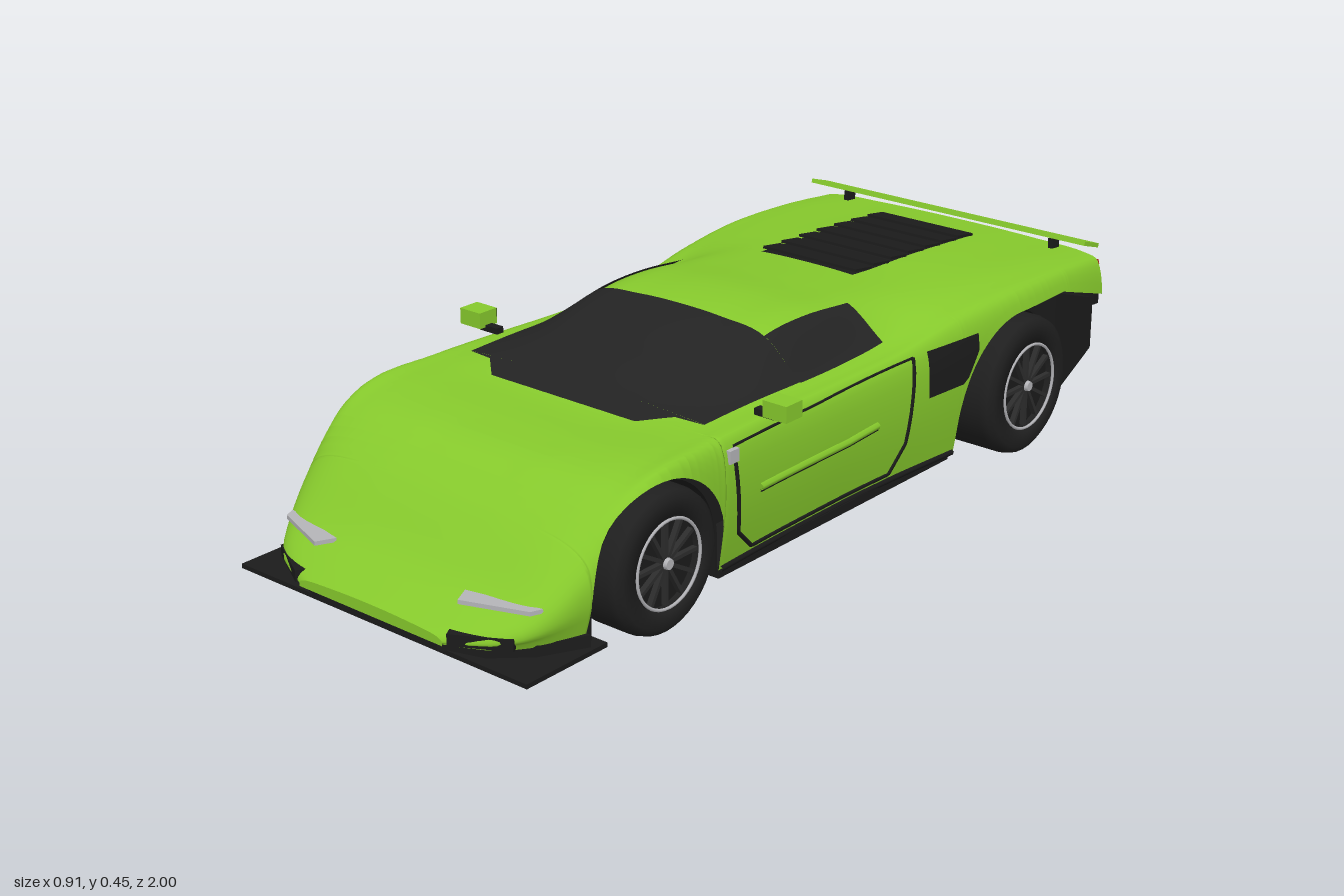
import * as THREE from 'three';

const mat = (name, color, side = THREE.FrontSide) => {
  const m = new THREE.MeshStandardMaterial({ color, side });
  m.name = name;
  return m;
};

// Body cross-section tracks, all sampled at these stations from nose to tail
const Z = [1, .96, .9, .8, .7, .6, .45, .26, .08, -.05, -.21, -.4, -.6, -.8, -.96];
const YC = [.085, .11, .15, .25, .315, .332, .34, .393, .445, .455, .437, .42, .413, .4, .387];
const X2 = [.1, .15, .18, .2, .2, .2, .2, .22, .23, .23, .23, .22, .22, .22, .22];
const Y2 = [.083, .108, .147, .247, .315, .334, .34, .38, .425, .433, .42, .41, .406, .395, .384];
const X3 = [.16, .24, .29, .32, .34, .34, .335, .33, .325, .325, .33, .34, .35, .36, .36];
const Y3 = [.08, .1, .138, .235, .307, .335, .342, .346, .346, .346, .352, .385, .395, .39, .378];
const Y4 = [.076, .09, .12, .2, .287, .326, .33, .33, .326, .326, .332, .355, .368, .362, .35];
const W = [.2, .29, .35, .395, .412, .415, .408, .4, .397, .397, .403, .417, .43, .428, .42];

// Smooth Hermite interpolation of a track
function track(a, z) {
  const n = Z.length;
  let i = 0;
  while (i < n - 2 && z < Z[i + 1]) i++;
  const slope = k => {
    const p = Math.max(k - 1, 0), q = Math.min(k + 1, n - 1);
    return (a[q] - a[p]) / (Z[q] - Z[p]);
  };
  const h = Z[i + 1] - Z[i], t = (z - Z[i]) / h, u = 1 - t;
  return a[i] * (1 + 2 * t) * u * u + slope(i) * h * t * u * u
    + a[i + 1] * t * t * (3 - 2 * t) - slope(i + 1) * h * t * t * u;
}

// Body skin: t = 0 on the centre line, 6 at the sill, negative t on the other side
function skin(ts, z) {
  const t = Math.min(Math.abs(ts), 6), s = ts < 0 ? -1 : 1;
  const yc = track(YC, z), x2 = track(X2, z), y2 = track(Y2, z), y4 = track(Y4, z), w = track(W, z);
  const y1 = yc - .2 * (yc - y2);
  const p = [[-x2 / 2, y1], [0, yc], [x2 / 2, y1], [x2, y2], [track(X3, z), track(Y3, z)],
    [w - .012, y4], [w, y4 * .55 + .025], [w - .02, .055], [w - .05, -.06]];
  const i = Math.min(5, Math.floor(t)), f = t - i;
  const cr = k => {
    const [a, b, c, d] = [p[i][k], p[i + 1][k], p[i + 2][k], p[i + 3][k]];
    return b + .5 * f * (c - a + f * (2 * a - 5 * b + 4 * c - d + f * (3 * (b - c) + d - a)));
  };
  return new THREE.Vector3(s * cr(0), cr(1), z);
}
function bisect(lo, hi, below) {
  for (let k = 0; k < 26; k++) {
    const m = (lo + hi) / 2;
    if (below(m)) lo = m; else hi = m;
  }
  return lo;
}
const tAtX = (x, z) => Math.sign(x) * bisect(0, 4.6, t => skin(t, z).x < Math.abs(x));
const tAtY = (y, z) => bisect(1, 6, t => skin(t, z).y > y);

const ARCHES = [{ z: .605, r: .19, y: .13 }, { z: -.6, r: .21, y: .13 }];
function lowerEdge(z) {
  if (z < -.6) return .34 - Math.max(0, -.78 - z) * .3;
  for (const a of ARCHES) {
    const d = Math.abs(z - a.z);
    if (d < a.r) return a.y + Math.sqrt(a.r * a.r - d * d);
  }
  return .06;
}

// Grid surface from rows of points running +x, rows ordered by rising z
function loft(rows) {
  const n = rows[0].length, index = [];
  for (let j = 0; j < rows.length - 1; j++) for (let i = 0; i < n - 1; i++) {
    const a = j * n + i, c = a + n;
    index.push(a, c, a + 1, a + 1, c, c + 1);
  }
  const g = new THREE.BufferGeometry().setFromPoints(rows.flat());
  g.setIndex(index);
  g.computeVertexNormals();
  return g;
}
// Thin patch lying on the skin; f(u, z) returns t
function patch(z0, z1, nu, nz, f, lift = .004) {
  const rows = [];
  for (let j = 0; j <= nz; j++) {
    const z = z0 + (z1 - z0) * j / nz;
    rows.push(Array.from({ length: nu + 1 }, (_, i) => skin(f(i / nu, z), z)));
  }
  const g = loft(rows), p = g.attributes.position, n = g.attributes.normal;
  for (let i = 0; i < p.count; i++)
    p.setXYZ(i, p.getX(i) + n.getX(i) * lift, p.getY(i) + n.getY(i) * lift, p.getZ(i) + n.getZ(i) * lift);
  return g;
}
// Thin line on one flank through [z, y] points
function seam(s, pts, r) {
  const path = new THREE.CurvePath(), out = [];
  for (let i = 0; i < pts.length - 1; i++) for (let k = 0; k <= 6; k++) {
    if (i && !k) continue;
    const f = k / 6, z = pts[i][0] * (1 - f) + pts[i + 1][0] * f, y = pts[i][1] * (1 - f) + pts[i + 1][1] * f;
    out.push(skin(s * tAtY(y, z), z));
  }
  for (let i = 0; i < out.length - 1; i++) path.add(new THREE.LineCurve3(out[i], out[i + 1]));
  return new THREE.TubeGeometry(path, out.length * 3, r, 5);
}
const shapeOf = pts => new THREE.Shape(pts.map(p => new THREE.Vector2(p[0], p[1])));
const extrude = (shape, depth) => new THREE.ExtrudeGeometry(shape, { depth, bevelEnabled: false, curveSegments: 20 });
// Side outline in [z, y] extruded across x, and plan outline in [x, z] extruded down from y
const sideSlab = (pts, w, x = 0) => extrude(shapeOf(pts.map(p => [-p[0], p[1]])), w).rotateY(Math.PI / 2).translate(x - w / 2, 0, 0);
const planSlab = (pts, y, h) => extrude(shapeOf(pts), h).rotateX(Math.PI / 2).translate(0, y, 0);

export function createModel() {
  const root = new THREE.Group();
  root.name = 'sportsCar';
  const D = THREE.DoubleSide;
  const paint = mat('greenPaint', 0x86c92c, D), glass = mat('darkGlass', 0x232323, D), trim = mat('blackTrim', 0x1b1b1b, D);
  const rubber = mat('tyreRubber', 0x1f1f1f, D), rimMat = mat('darkRim', 0x2c2c2c), silver = mat('silver', 0xb4b4b8), red = mat('redLight', 0xa3221b);
  const add = (name, geo, m, parent = root) => {
    const mesh = new THREE.Mesh(geo, m);
    mesh.name = name;
    parent.add(mesh);
    return mesh;
  };
  const box = (name, w, h, d, x, y, z, m, parent) => {
    const b = add(name, new THREE.BoxGeometry(w, h, d), m, parent);
    b.position.set(x, y, z);
    return b;
  };

  // Body shell, with extra rows where the wheel arches curve steeply
  const zs = [];
  for (let z = -.96; z < 1.001; z += .02) zs.push(Math.min(z, 1));
  for (const a of ARCHES) {
    for (let k = 1; k < 20; k++) zs.push(a.z + a.r * Math.cos(k / 20 * Math.PI));
    zs.push(a.z - a.r - .0005, a.z - a.r + .0005, a.z + a.r - .0005, a.z + a.r + .0005);
  }
  zs.sort((a, b) => a - b);
  const rows = zs.map(z => {
    const tm = tAtY(lowerEdge(z), z);
    return Array.from({ length: 49 }, (_, i) => skin(tm * (i / 24 - 1), z));
  });
  add('bodyShell', loft(rows), paint);
  const nose = rows[rows.length - 1];
  add('noseLip', loft([nose, nose.map(p => new THREE.Vector3(p.x, .06, 1))]), paint);

  // Glass
  const halfW = z => z > .385 ? THREE.MathUtils.lerp(.27, .2, (z - .385) / .065) : .325;
  add('windscreen', patch(.08, .385, 36, 20, (u, z) => tAtX((u * 2 - 1) * .325, z)), glass);
  add('windscreenBase', patch(.385, .45, 24, 6, (u, z) => tAtX((u * 2 - 1) * halfW(z), z)), glass);
  for (const s of [-1, 1])
    add('sideWindow', patch(-.207, .08, 12, 14, (u, z) => tAtX(s * (s > 0 ? .23 + .097 * u : .327 - .097 * u), z)), glass);

  // Engine cover louvres
  add('louvrePanel', patch(-.84, -.36, 10, 20, (u, z) => tAtX(u * .26 - .13 + 1e-6, z), .006), trim);
  for (let i = 0; i < 7; i++) {
    const z = -.4 - i * .067;
    box('louvreSlat', .264, .006, .062, 0, track(YC, z) + .009, z, trim).rotation.x = -.14;
  }

  // Underside, splitter and front bumper
  box('floorCentre', .77, .02, .8, 0, .05, .012, trim);
  box('floorSpine', .5, .012, 1.55, 0, .046, 0, trim);
  box('chassisCore', .48, .19, 1.5, 0, .145, -.03, trim);
  box('splitter', .8, .01, .22, 0, .035, .87, trim);
  const bumper = [[.39, .795], [.34, .89], [.27, .955], [.17, .985]];
  add('frontBumper', planSlab([...bumper, ...bumper.map(([x, z]) => [-x, z]).reverse()], .066, .03), trim);

  // Tail: dark block, rear fascia, valance, diffuser, exhausts, wing
  add('rearBlock', sideSlab([[-.785, .33], [-.95, .275], [-.95, .15], [-.785, .065]], .8), trim);
  add('rearFascia', new THREE.ShapeGeometry(shapeOf(rows[0].map(p => [p.x, p.y]))), trim).position.z = -.959;
  box('rearFasciaLip', .82, .03, .02, 0, .277, -.949, trim);
  box('rearValance', .6, .085, .008, 0, .22, -.952, paint);
  add('diffuserPlate', sideSlab([[-.74, .05], [-.93, .145], [-.925, .155], [-.74, .065]], .62), trim);
  for (let i = -3; i <= 3; i++)
    add('diffuserFin', sideSlab([[-.75, .08], [-.78, .024], [-.963, .09], [-.93, .15]], .01, i * .086), trim);
  for (const s of [-1, 1]) {
    const pipe = add('exhaust', new THREE.LatheGeometry([[.001, -.03], [.024, -.03], [.024, .035], [.031, .035], [.031, -.04]]
      .map(p => new THREE.Vector2(...p)), 16), trim);
    pipe.rotation.x = -Math.PI / 2;
    pipe.position.set(s * .055, .22, -.965);
    box('wingStay', .012, .03, .03, s * .3, .395, -.925, trim);
  }
  box('rearWing', .8, .01, .065, 0, .411, -.93, paint).rotation.x = -.3;

  // Parts on both flanks
  for (const s of [-1, 1]) {
    const side = new THREE.Group();
    side.name = s > 0 ? 'leftSide' : 'rightSide';
    root.add(side);
    add('doorSeam', seam(s, [[.385, .31], [.365, .13], [.31, .078], [-.16, .078], [-.205, .14], [-.228, .33]], .005), trim, side);
    add('beltSeam', seam(s, [[.385, .322], [.1, .322], [-.228, .33]], .003), trim, side);
    add('doorRidge', seam(s, [[.3, .208], [0, .208], [-.1, .215]], .008), paint, side);
    add('doorRidgeShadow', seam(s, [[.3, .199], [0, .199], [-.1, .206]], .003), trim, side);
    add('sillStrip', seam(s, [[.41, .062], [-.385, .062]], .007), trim, side);
    add('sideVent', patch(-.44, -.27, 6, 10, (u, z) => {
      const low = z < -.4 ? .23 + (-.4 - z) * 1.6 : .228;
      return s * tAtY(THREE.MathUtils.lerp(.333, low, s > 0 ? u : 1 - u), z);
    }), trim, side);
    box('doorHinge', .012, .028, .028, s * .402, .305, .39, silver, side);
    box('mirror', .06, .036, .052, s * .425, .372, .262, paint, side);
    box('mirrorGlass', .052, .03, .006, s * .425, .372, .234, trim, side);
    box('mirrorStalk', .05, .014, .02, s * .385, .352, .262, trim, side);
    add('headlight', planSlab([[.18, .915], [.35, .88], [.34, .905], [.2, .955]].map(([x, z]) => [s * x, z]), .14, .009), silver, side);
    box('frontIntake', .13, .025, .03, s * .262, .077, .955, trim, side).rotation.y = s * .5;

    // Tail light chevron
    for (const y of [.36, .3]) {
      const dx = .13, dy = y - .325;
      const bar = box('tailLight', Math.hypot(dx, dy), .012, .008, s * (.27 + dx / 2), .325 + dy / 2, -.964, red, side);
      bar.rotation.z = s * Math.atan2(dy, dx);
    }

    // Wheel arch liners
    for (const a of ARCHES) {
      const r = a.r - .002, q = r - .006;
      const liner = new THREE.Shape();
      liner.moveTo(r, .05).lineTo(r, a.y).absarc(0, a.y, r, 0, Math.PI, false).lineTo(-r, .05)
        .lineTo(-q, .05).lineTo(-q, a.y).absarc(0, a.y, q, Math.PI, 0, true).lineTo(q, .05);
      add('archLiner', extrude(liner, .15).rotateY(Math.PI / 2).translate(s > 0 ? .235 : -.385, 0, a.z), trim, side);
      const wall = new THREE.Shape();
      wall.moveTo(r, .05).lineTo(r, a.y).absarc(0, a.y, r, 0, Math.PI, false).lineTo(-r, .05);
      add('archInnerWall', extrude(wall, .01).rotateY(Math.PI / 2).translate(s * .24 - .005, 0, a.z), trim, side);
    }

    // Wheels: tyre, dish, ring, spokes, hub
    for (const [name, z, R, x0, x1] of [['frontWheel', .605, .152, .28, .425], ['rearWheel', -.61, .162, .275, .452]]) {
      const wheel = new THREE.Group(), h = (x1 - x0) / 2;
      wheel.name = name;
      wheel.position.set(s * (x0 + x1) / 2, R + .002, z);
      wheel.rotation.y = s > 0 ? 0 : Math.PI;
      side.add(wheel);
      const prof = [[.3, -h], [.88, -h], [.97, -h + .012], [1, -h + .03], [1, h - .03], [.97, h - .012], [.88, h - .002], [.66, h], [.63, h - .03]];
      add('tyre', new THREE.LatheGeometry(prof.map(([r, y]) => new THREE.Vector2(r * R, y)), 40).rotateZ(-Math.PI / 2), rubber, wheel);
      add('rimDish', new THREE.CylinderGeometry(.64 * R, .64 * R, .01, 32).rotateZ(Math.PI / 2), trim, wheel).position.x = h - .03;
      add('rimRing', new THREE.TorusGeometry(.61 * R, .0035, 6, 40).rotateY(Math.PI / 2), silver, wheel).position.x = h - .003;
      for (let k = 0; k < 12; k++) {
        const spoke = add('spoke', new THREE.BoxGeometry(.012, .52 * R, .008).translate(h - .014, .33 * R, 0), rimMat, wheel);
        spoke.rotation.x = k * Math.PI / 6;
      }
      add('hub', new THREE.CylinderGeometry(.011, .014, .016, 12).rotateZ(-Math.PI / 2), silver, wheel).position.x = h - .008;
    }
  }
  return root;
}
